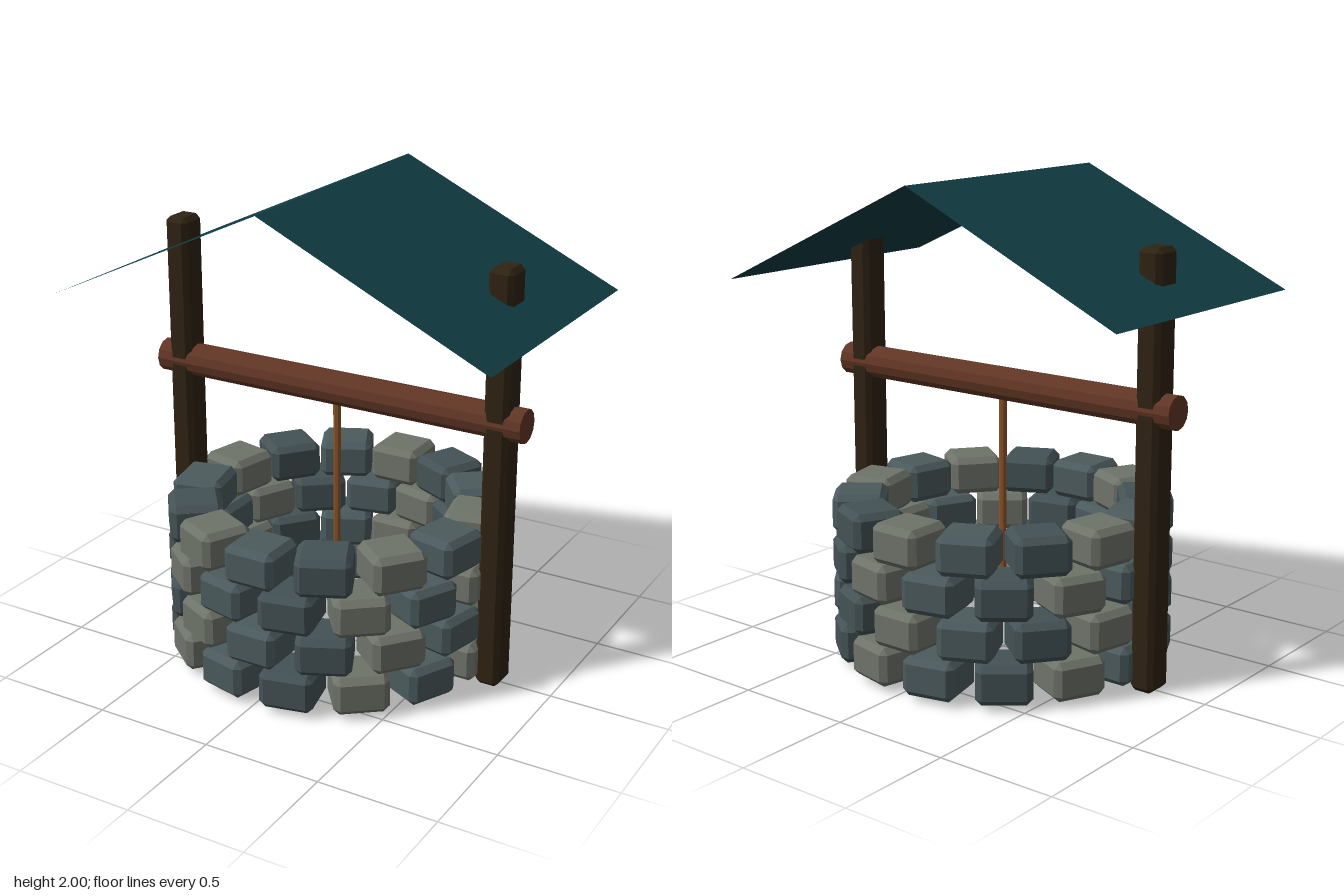
import * as THREE from 'three';
import { ConvexGeometry } from 'three/addons/geometries/ConvexGeometry.js';

const paint = (name, color, side = THREE.FrontSide) => {
  const m = new THREE.MeshStandardMaterial({ color, side, flatShading: true });
  m.name = name;
  return m;
};

// Box with flat chamfers on every edge, centred on the origin
function chamferBox(w, h, d, c) {
  const pts = [];
  for (const sx of [-1, 1]) for (const sy of [-1, 1]) for (const sz of [-1, 1]) {
    const x = w / 2, y = h / 2, z = d / 2;
    pts.push(
      new THREE.Vector3(sx * x, sy * (y - c), sz * (z - c)),
      new THREE.Vector3(sx * (x - c), sy * y, sz * (z - c)),
      new THREE.Vector3(sx * (x - c), sy * (y - c), sz * z));
  }
  return new ConvexGeometry(pts);
}

export function createModel() {
  const model = new THREE.Group();
  model.name = 'well';
  const stonePaints = [
    paint('pale stone', 0x6e7369),
    paint('blue grey stone', 0x4b5a5d),
    paint('dark blue grey stone', 0x445255),
  ];
  const postPaint = paint('dark wood', 0x2e2212);
  const beamPaint = paint('red brown wood', 0x613625);
  const ropePaint = paint('rope', 0x8a5228);
  const roofPaint = paint('teal roof', 0x103c43, THREE.DoubleSide);

  const add = (name, geometry, material, x, y, z, parent = model) => {
    const mesh = new THREE.Mesh(geometry, material);
    mesh.name = name;
    mesh.position.set(x, y, z);
    parent.add(mesh);
    return mesh;
  };

  // Stone wall: four staggered rings of chamfered blocks
  const wall = new THREE.Group();
  wall.name = 'stoneWall';
  model.add(wall);
  const count = 14, radius = 0.59;
  const stone = chamferBox(0.225, 0.162, 0.22, 0.025);
  for (let row = 0; row < 4; row++) {
    for (let k = 0; k < count; k++) {
      const a = Math.PI / 2 + (k + (row % 2) / 2) * (2 * Math.PI / count);
      const block = add('stone', stone, stonePaints[k % 3],
        radius * Math.sin(a), 0.107 + row * 0.171, radius * Math.cos(a), wall);
      block.rotation.y = a;
    }
  }

  // Posts
  const post = chamferBox(0.105, 1.77, 0.132, 0.02);
  add('leftPost', post, postPaint, 0.738, 0.89, 0);
  add('rightPost', post, postPaint, -0.738, 0.89, 0);

  // Crossbeam and hanging rope
  const beam = new THREE.CylinderGeometry(0.07, 0.07, 1.69, 12).rotateZ(Math.PI / 2);
  add('crossbeam', beam, beamPaint, 0, 1.148, 0);
  add('rope', new THREE.CylinderGeometry(0.016, 0.016, 0.9, 8), ropePaint, 0, 0.7, 0);

  // Roof: one thin sheet folded along the ridge
  const roof = new THREE.PlaneGeometry(1.916, 1.18, 2, 1).rotateX(-Math.PI / 2).toNonIndexed();
  const p = roof.attributes.position;
  for (let i = 0; i < p.count; i++) p.setY(i, 2 - Math.abs(p.getX(i)) * 0.464);
  roof.computeVertexNormals();
  add('roof', roof, roofPaint, 0, 0, 0);

  return model;
}
